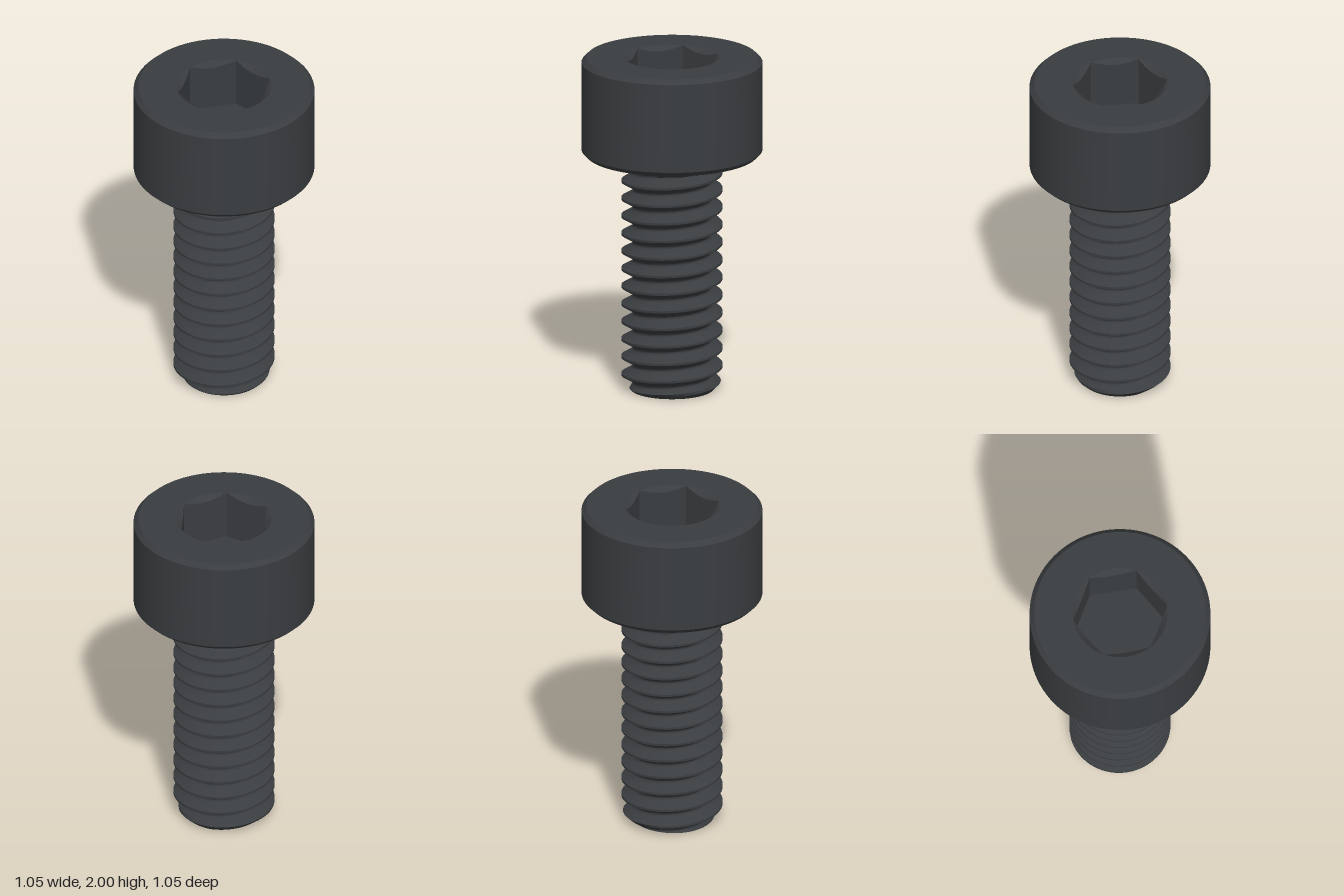
import * as THREE from 'three';
import { toCreasedNormals } from 'three/addons/utils/BufferGeometryUtils.js';

const SEG = 96;
const HEAD_R = 0.527, CHAMFER = 0.028, HEAD_BOTTOM = 1.415;
const FILLET = 0.03, SHANK_R = 0.295, SHANK_TOP = HEAD_BOTTOM - FILLET;
const PITCH = 0.106, CREST_Y = 0.0865; // height of the first crest at the front
const HEX_R = 0.278, SOCKET_DEPTH = 0.3;

const material = new THREE.MeshStandardMaterial({ color: 0x3a3d40 });

// Skin over rings of points; at(row, angle) returns [radius, y].
// Rows run from the bottom centre outwards, up, and inwards over the top.
function skin(name, rows, at) {
  const pos = [];
  const point = (row, s) => {
    const a = (s / SEG) * Math.PI * 2;
    const [r, y] = at(row, a);
    return new THREE.Vector3(r * Math.sin(a), y, r * Math.cos(a));
  };
  const triangle = (a, b, c) => {
    const area = b.clone().sub(a).cross(c.clone().sub(a)).length();
    if (area > 1e-9) for (const p of [a, b, c]) pos.push(p.x, p.y, p.z);
  };
  for (let i = 0; i < rows - 1; i++) {
    for (let s = 0; s < SEG; s++) {
      const a = point(i, s), b = point(i, s + 1);
      const c = point(i + 1, s + 1), d = point(i + 1, s);
      triangle(a, b, c);
      triangle(a, c, d);
    }
  }
  const geometry = new THREE.BufferGeometry();
  geometry.setAttribute('position', new THREE.Float32BufferAttribute(pos, 3));
  const mesh = new THREE.Mesh(toCreasedNormals(geometry, 0.6), material);
  mesh.name = name;
  return mesh;
}

// One pitch of the thread: [fraction of pitch, groove depth in pitches]
const THREAD = [
  [-0.0625, 0], [0.0625, 0], [0.21875, 0.27], [0.375, 0.541],
  [0.4375, 0.595], [0.5, 0.613], [0.5625, 0.595], [0.625, 0.541], [0.78125, 0.27],
];

// Groove depth at any position along the pitch
function grooveDepth(u) {
  const t = Math.abs(u - Math.round(u));
  const half = [[0, 0], ...THREAD.slice(1, 6)];
  for (let i = 1; i < half.length; i++) {
    const [u0, d0] = half[i - 1], [u1, d1] = half[i];
    if (t <= u1) return PITCH * (d0 + (d1 - d0) * (t - u0) / (u1 - u0));
  }
  return PITCH * 0.613;
}

// Right-hand thread with a chamfered tip, running out below the head
function threadedShank() {
  const turns = 17;
  const rows = turns * THREAD.length + 1;
  return skin('threadedShank', rows, (row, a) => {
    if (row === 0) return [0, 0];
    const k = row - 1;
    const turn = a / (Math.PI * 2);
    const u = Math.floor(k / THREAD.length) - 2 + THREAD[k % THREAD.length][0];
    const y = THREE.MathUtils.clamp(CREST_Y + PITCH * (u + turn), 0, SHANK_TOP);
    const fade = THREE.MathUtils.clamp((SHANK_TOP - y) / 0.05, 0, 1);
    const groove = grooveDepth((y - CREST_Y) / PITCH - turn) * fade;
    return [Math.min(SHANK_R - groove, 0.24 + y), y];
  });
}

// Cylindrical head with both rims chamfered and a fillet into the shank
function head() {
  const profile = [];
  for (let i = 0; i <= 6; i++) {
    const t = (i / 6) * Math.PI / 2;
    profile.push([SHANK_R + FILLET * (1 - Math.cos(t)), SHANK_TOP + FILLET * Math.sin(t)]);
  }
  profile.push(
    [HEAD_R - CHAMFER, HEAD_BOTTOM], [HEAD_R, HEAD_BOTTOM + CHAMFER],
    [HEAD_R, 2 - CHAMFER], [HEAD_R - CHAMFER, 2], [HEX_R, 2],
  );
  return skin('head', profile.length, (row) => profile[row]);
}

// Hexagonal socket with a conical countersink, corners on the x axis
function hexSocket() {
  return skin('hexSocket', 8, (row, a) => {
    const sector = Math.PI / 3;
    const off = a - Math.round(a / sector) * sector; // flats face +z and -z
    const r = HEX_R * Math.cos(Math.PI / 6) / Math.cos(off);
    if (row === 0) return [HEX_R, 2];
    if (row === 7) return [0, 2 - SOCKET_DEPTH];
    const top = 2 - (HEX_R - r) * 0.75;
    return [r, THREE.MathUtils.lerp(top, 2 - SOCKET_DEPTH, (row - 1) / 5)];
  });
}

export function createModel() {
  const group = new THREE.Group();
  group.name = 'socketHeadScrew';
  group.add(threadedShank(), head(), hexSocket());
  return group;
}
